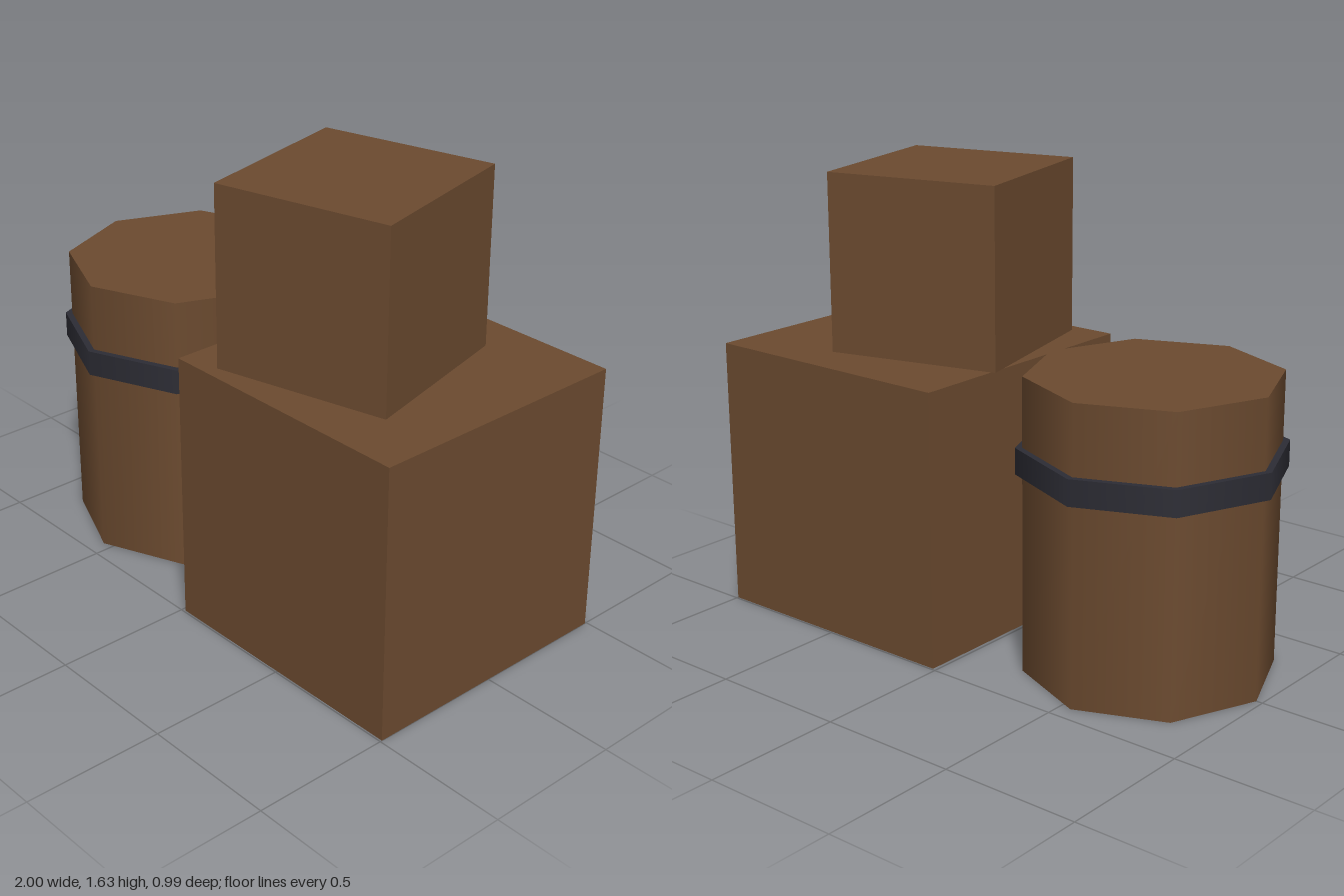
import * as THREE from 'three';

export function createModel() {
  const group = new THREE.Group();
  const wood = new THREE.MeshStandardMaterial({ color: 0x6b4a2f });
  wood.name = 'brown wood';
  const iron = new THREE.MeshStandardMaterial({ color: 0x2c2c34 });
  iron.name = 'dark iron';

  function add(name, geometry, material, x, y, z, turn = 0) {
    const mesh = new THREE.Mesh(geometry, material);
    mesh.name = name;
    mesh.position.set(x, y, z);
    mesh.rotation.y = turn;
    group.add(mesh);
  }

  // Eight-sided barrel with a single hoop
  const barrelX = -0.54, barrelHeight = 1.046;
  add('barrel', new THREE.CylinderGeometry(0.437, 0.437, barrelHeight, 8), wood, barrelX, barrelHeight / 2, 0);
  add('barrelHoop', new THREE.CylinderGeometry(0.461, 0.461, 0.092, 8), iron, barrelX, 0.756, 0);

  // Large crate with a smaller, turned crate on top
  const large = 0.986, small = 0.64;
  add('largeCrate', new THREE.BoxGeometry(large, large, large), wood, 0.507, large / 2, 0);
  add('smallCrate', new THREE.BoxGeometry(small, small, small), wood, 0.388, large + small / 2, 0.057, 0.25);

  return group;
}
